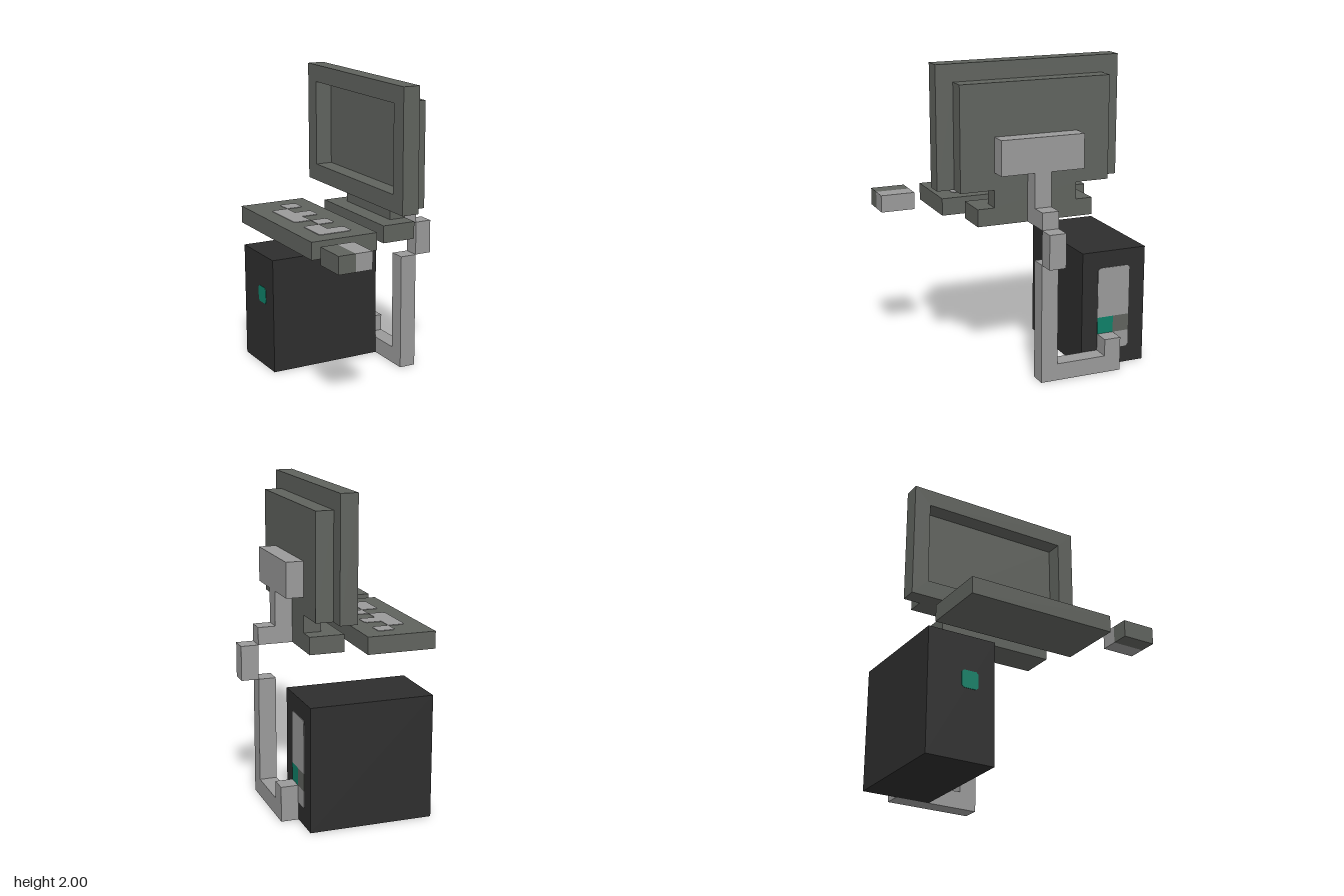
import * as THREE from 'three';

const U = 1 / 9;          // one block of the grid
const THIN = 0.03;        // thickness of painted plates, in blocks
const CUT = 0.13;         // corner cut of painted plates, in blocks

const mat = (name, color) => {
  const m = new THREE.MeshStandardMaterial({ color });
  m.name = name;
  return m;
};

export function createModel() {
  const black = mat('case black', 0x2e2e2e);
  const grey = mat('body grey', 0x60635e);
  const light = mat('light grey', 0x9a9a9a);
  const teal = mat('teal', 0x0f8068);

  const model = new THREE.Group();
  model.name = 'desktopComputer';
  const group = (name) => {
    const g = new THREE.Group();
    g.name = name;
    model.add(g);
    return g;
  };
  const add = (parent, name, geometry, material) => {
    const mesh = new THREE.Mesh(geometry, material);
    mesh.name = name;
    parent.add(mesh);
  };

  // Box between ranges given in blocks
  const box = (parent, name, material, [x0, x1], [y0, y1], [z0, z1]) => {
    const g = new THREE.BoxGeometry(x1 - x0, y1 - y0, z1 - z0);
    g.translate((x0 + x1) / 2, (y0 + y1) / 2, (z0 + z1) / 2);
    add(parent, name, g, material);
  };

  // Thin plate outline; a third value of 1 marks a cut corner
  const plate = (points) => {
    const out = [];
    points.forEach(([a, b, cut], i) => {
      const p = new THREE.Vector2(a, b);
      if (!cut) return out.push(p);
      for (const step of [-1, 1]) {
        const n = points[(i + step + points.length) % points.length];
        const d = new THREE.Vector2(n[0] - a, n[1] - b).setLength(CUT);
        out.push(p.clone().add(d));
      }
    });
    return new THREE.ExtrudeGeometry(new THREE.Shape(out), { depth: THIN, bevelEnabled: false });
  };

  // Computer tower with its connector panel
  const tower = group('tower');
  box(tower, 'towerCase', black, [-4, 3], [0, 7], [-7, -3]);
  const sidePlate = (name, material, points) =>
    add(tower, name, plate(points.map(([z, y, c]) => [-z, y, c])).rotateY(Math.PI / 2).translate(3, 0, 0), material);
  sidePlate('upperConnectorPanel', light, [[-4, 3], [-6, 3], [-6, 6, 1], [-4, 6, 1]]);
  sidePlate('lowerConnectorPanel', light, [[-4, 1, 1], [-6, 1, 1], [-6, 2], [-4, 2]]);
  sidePlate('tealSocket', teal, [[-4, 2], [-5, 2], [-5, 3], [-4, 3]]);
  sidePlate('greySocket', grey, [[-5, 2], [-6, 2], [-6, 3], [-5, 3]]);
  add(tower, 'powerButton',
    plate([[-5, 4, 1], [-4, 4, 1], [-4, 5, 1], [-5, 5, 1]]).rotateY(-Math.PI / 2).translate(-4, 0, 0), teal);

  // Monitor: open frame, screen housing, neck and foot
  const monitor = group('monitor');
  const rect = (C, z0, z1, y0, y1) => new C([[z0, y0], [z1, y0], [z1, y1], [z0, y1]].map(p => new THREE.Vector2(...p)));
  const rim = rect(THREE.Shape, -6, 5, 11, 18);
  rim.holes.push(rect(THREE.Path, -5, 4, 12, 17));
  add(monitor, 'screenFrame',
    new THREE.ExtrudeGeometry(rim, { depth: 1, bevelEnabled: false }).rotateY(-Math.PI / 2).translate(1, 0, 0), grey);
  box(monitor, 'screenHousing', grey, [1, 2], [11, 17], [-5, 4]);
  box(monitor, 'neck', grey, [1, 2], [10, 11], [-3, 2]);
  box(monitor, 'foot', grey, [0, 2], [9, 10], [-4, 3]);

  // Cable from the back of the monitor down to the tower
  const cable = group('cable');
  [
    ['monitorPlug', [2, 3], [12, 14], [-3, 2]],
    ['plugDrop', [2, 3], [9, 12], [-1, 0]],
    ['upperBend', [3, 4], [9, 10], [-1, 0]],
    ['outerDrop', [4, 5], [7, 9], [-1, 0]],
    ['longDrop', [3, 4], [0, 7], [-1, 0]],
    ['floorRun', [3, 4], [0, 1], [-5, -1]],
    ['towerPlug', [3, 4], [1, 2], [-5, -4]],
  ].forEach(([name, x, y, z]) => box(cable, name, light, x, y, z));

  // Keyboard with painted key patches
  const keyboard = group('keyboard');
  box(keyboard, 'keyboardBody', grey, [-5, -1], [9, 10], [-5, 4]);
  [
    [[-3, -4, 1], [-2, -4, 1], [-2, -3, 1], [-3, -3]],
    [[-4, -3, 1], [-3, -3], [-3, -2], [-2, -2, 1], [-2, -1, 1], [-3, -1], [-3, 0], [-4, 0, 1]],
    [[-3, 0], [-2, 0, 1], [-2, 1, 1], [-3, 1]],
    [[-4, 1, 1], [-3, 1], [-3, 2], [-2, 2, 1], [-2, 3, 1], [-4, 3, 1]],
  ].forEach((points, i) => add(keyboard, `keyPatch${i + 1}`,
    plate(points.map(([x, z, c]) => [x, -z, c])).rotateX(-Math.PI / 2).translate(0, 10, 0), light));

  // Two-tone mouse
  const mouse = group('mouse');
  box(mouse, 'mouseGreyHalf', grey, [-5, -4], [9, 10], [5, 7]);
  box(mouse, 'mouseLightHalf', light, [-4, -3], [9, 10], [5, 7]);

  model.scale.setScalar(U);
  return model;
}
